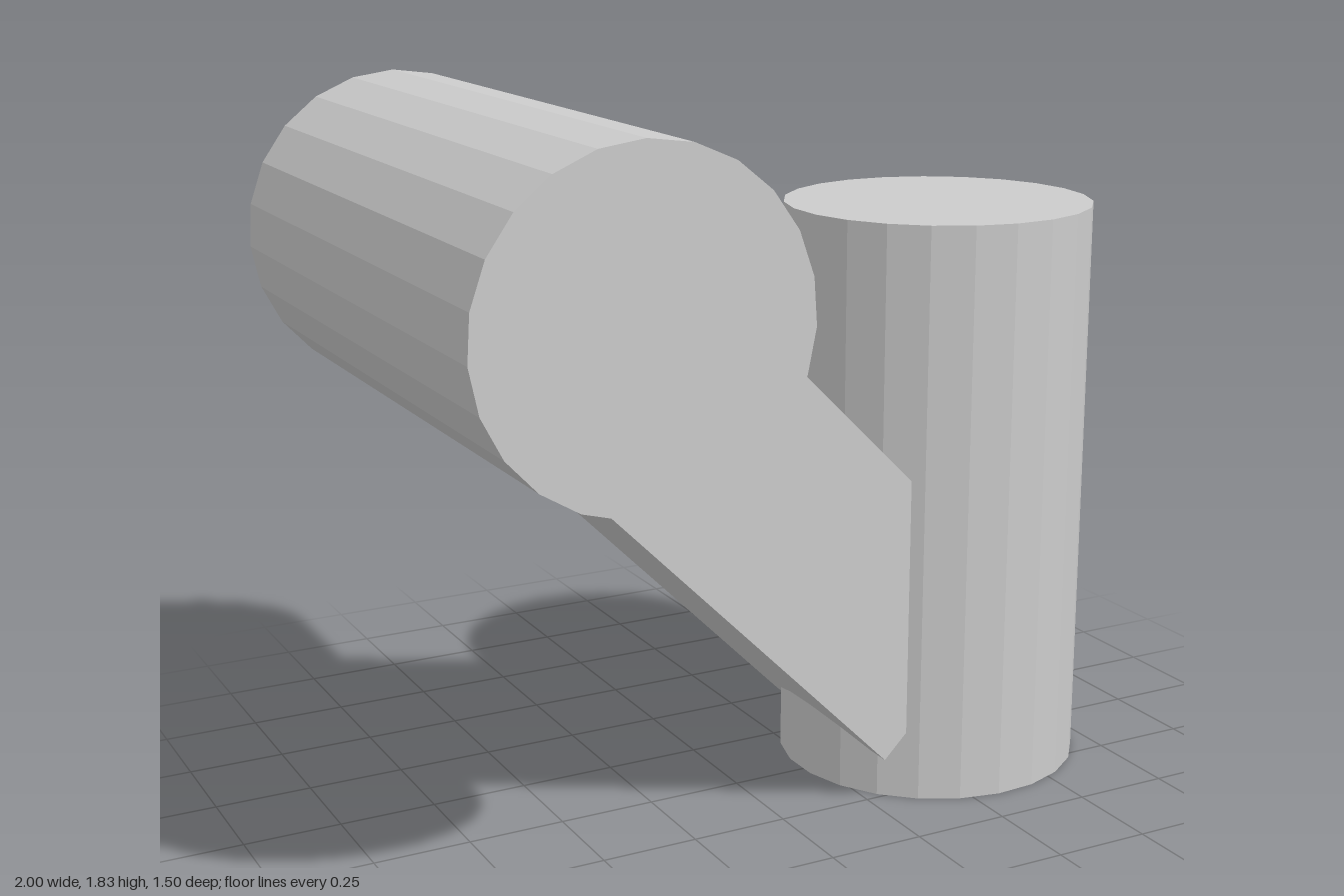
import * as THREE from 'three';

const SIDES = 23;
const RADIUS = 0.4;
const LENGTH = 1.5;

export function createModel() {
  const group = new THREE.Group();
  const material = new THREE.MeshStandardMaterial({ color: 0xcccccc, flatShading: true });

  const add = (name, geometry, x, y, z) => {
    const mesh = new THREE.Mesh(geometry, material);
    mesh.name = name;
    mesh.position.set(x, y, z);
    group.add(mesh);
    return mesh;
  };

  // Both drums share one size; the start angle sets where the facets fall
  const drum = (start) => new THREE.CylinderGeometry(RADIUS, RADIUS, LENGTH, SIDES, 1, false, start);

  // Standing drum, a facet corner pointing to +x
  add('uprightCylinder', drum(Math.PI / 2), 0.6, LENGTH / 2, -0.02);

  // Lying drum along z, a facet corner at the very top
  add('horizontalCylinder', drum(0).rotateX(-Math.PI / 2), -0.605, 1.425, 0);

  // Square beam at 45 degrees, its ends buried in the two drums
  const upper = new THREE.Vector2(-0.612, 1.41);
  const lower = new THREE.Vector2(0.481, 0.317);
  const middle = upper.clone().add(lower).multiplyScalar(0.5);
  const beam = add('diagonalBeam', new THREE.BoxGeometry(upper.distanceTo(lower), 0.566, 0.566), middle.x, middle.y, 0);
  beam.rotation.z = -Math.PI / 4;

  return group;
}
